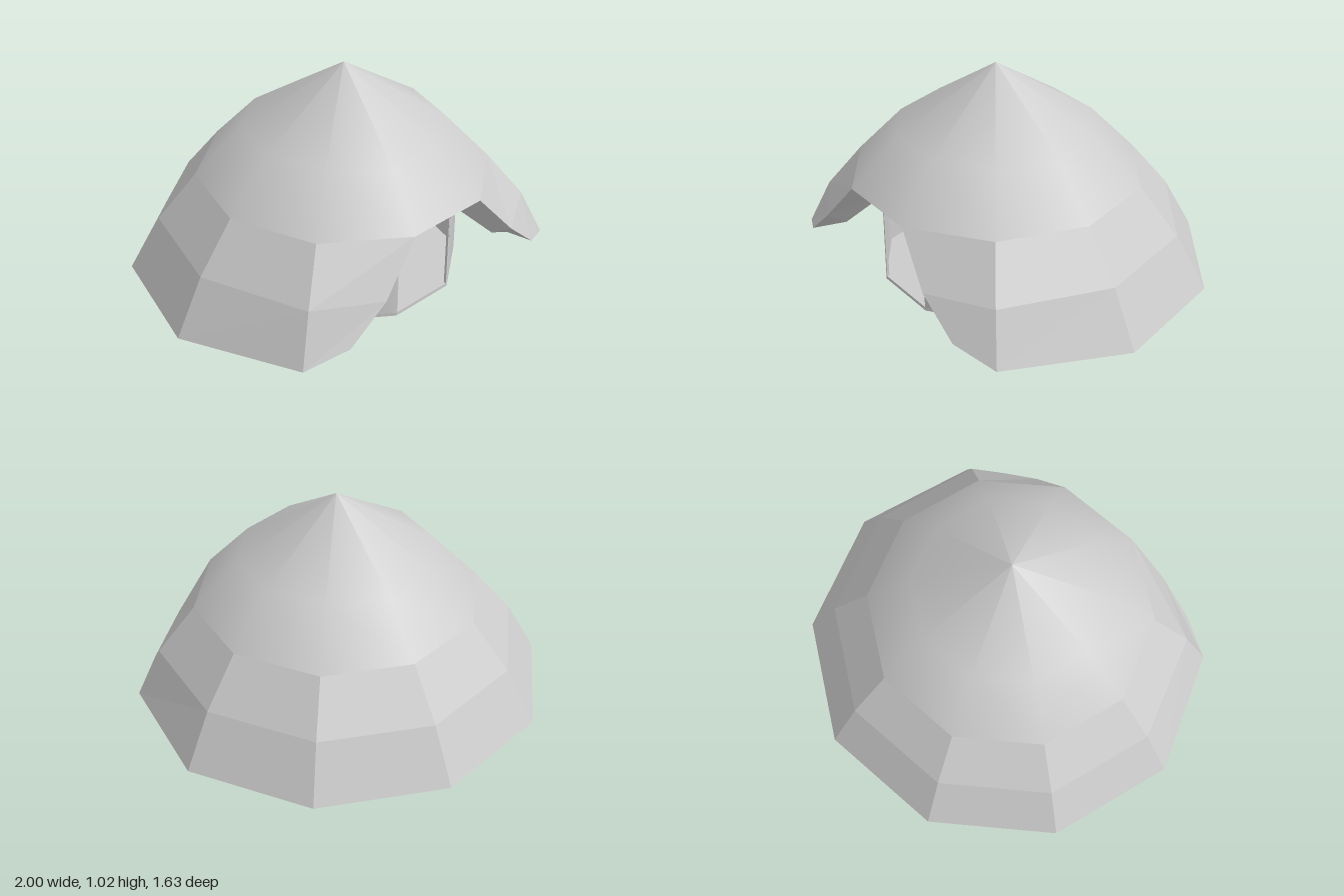
import * as THREE from 'three';

const SIDES = 10, CZ = 0.13, STEP = (Math.PI * 2) / SIDES;
const flat = new THREE.MeshStandardMaterial({ color: 0xcccccc, flatShading: true, side: THREE.DoubleSide });
const smooth = new THREE.MeshStandardMaterial({ color: 0xcccccc, side: THREE.DoubleSide });

// Roof rings from the eaves up, as [radius, height]
const OUTER = [[1, 0.025], [0.86, 0.28], [0.682, 0.5]];
const INNER = [[0.86, 0.07], [0.73, 0.24], [0.545, 0.44]];

// Corners moved to shape the cut-out entrance (first two columns; mirrored for the last two)
const OUTER_FRONT = [[[0.6, 0.12, 0.79], [0.41, 0.28, 0.81]], [[0.79, 0.05, 0.7]]];
const INNER_FRONT = [[[0.55, 0.14, 0.68], [0.37, 0.24, 0.73]], [[0.7, 0.09, 0.61]]];

function column(rings, front, i) {
  const a = (i - 2) * STEP;
  const mirrored = i > 7;
  const moved = front[mirrored ? 9 - i : i] || [];
  return rings.map(([r, y], k) => {
    if (moved[k]) return [moved[k][0] * (mirrored ? -1 : 1), moved[k][1], moved[k][2]];
    return [r * Math.cos(a), y, CZ - r * Math.sin(a)];
  });
}

function quadGeometry(quads) {
  const pos = [];
  for (const [a, b, c, d] of quads) pos.push(...a, ...b, ...c, ...a, ...c, ...d);
  const g = new THREE.BufferGeometry();
  g.setAttribute('position', new THREE.Float32BufferAttribute(pos, 3));
  g.computeVertexNormals();
  return g;
}

export function createModel() {
  const group = new THREE.Group();
  const add = (name, geo, mat, x = 0, y = 0, z = 0) => {
    const m = new THREE.Mesh(geo, mat);
    m.name = name;
    m.position.set(x, y, z);
    group.add(m);
    return m;
  };

  // Faceted roof skirt: outer skin, lining, and the thickness along its edges
  const out = [], inn = [];
  for (let i = 0; i < SIDES; i++) {
    out.push(column(OUTER, OUTER_FRONT, i));
    inn.push(column(INNER, INNER_FRONT, i));
  }
  const skin = [], lining = [], rim = [];
  for (let i = 0; i < SIDES - 1; i++) {
    const j = i + 1;
    for (let k = 0; k < 2; k++) {
      skin.push([out[i][k], out[j][k], out[j][k + 1], out[i][k + 1]]);
      lining.push([inn[j][k], inn[i][k], inn[i][k + 1], inn[j][k + 1]]);
    }
    rim.push([inn[i][0], inn[j][0], out[j][0], out[i][0]]);
  }
  for (let k = 0; k < 2; k++) {
    rim.push([inn[0][k], out[0][k], out[0][k + 1], inn[0][k + 1]]);
    rim.push([out[9][k], inn[9][k], inn[9][k + 1], out[9][k + 1]]);
  }
  rim.push([inn[9][2], inn[0][2], out[0][2], out[9][2]]);
  add('roofSkirt', quadGeometry(skin), flat);
  add('roofLining', quadGeometry(lining), flat);
  add('roofRim', quadGeometry(rim), flat);

  // Smooth pointed crown and the ceiling under it
  const lathe = (pts) => new THREE.LatheGeometry(pts.map(([r, y]) => new THREE.Vector2(r, y)), SIDES, STEP / 2);
  add('roofCrown', lathe([[0.682, 0.5], [0.465, 0.73], [0, 1.025]]), smooth, 0, 0, CZ);
  add('ceiling', lathe([[0.545, 0.44], [0.35, 0.66], [0, 0.93]]), smooth, 0, 0, CZ);

  // Round room, open at the front, on a ten-sided floor
  add('roomWall', new THREE.CylinderGeometry(0.545, 0.545, 0.425, SIDES - 1, 1, true, STEP / 2, STEP * (SIDES - 1)),
    smooth, 0, 0.2275, CZ);
  add('floor', new THREE.CylinderGeometry(0.545, 0.545, 0.016, SIDES, 1, false, STEP / 2), flat, 0, 0.008, CZ);

  // Thin jambs beside the doorway
  for (const s of [-1, 1]) {
    add(s > 0 ? 'leftJamb' : 'rightJamb', new THREE.BoxGeometry(0.006, 0.425, 0.012), flat, s * 0.165, 0.2275, 0.642);
  }
  return group;
}
